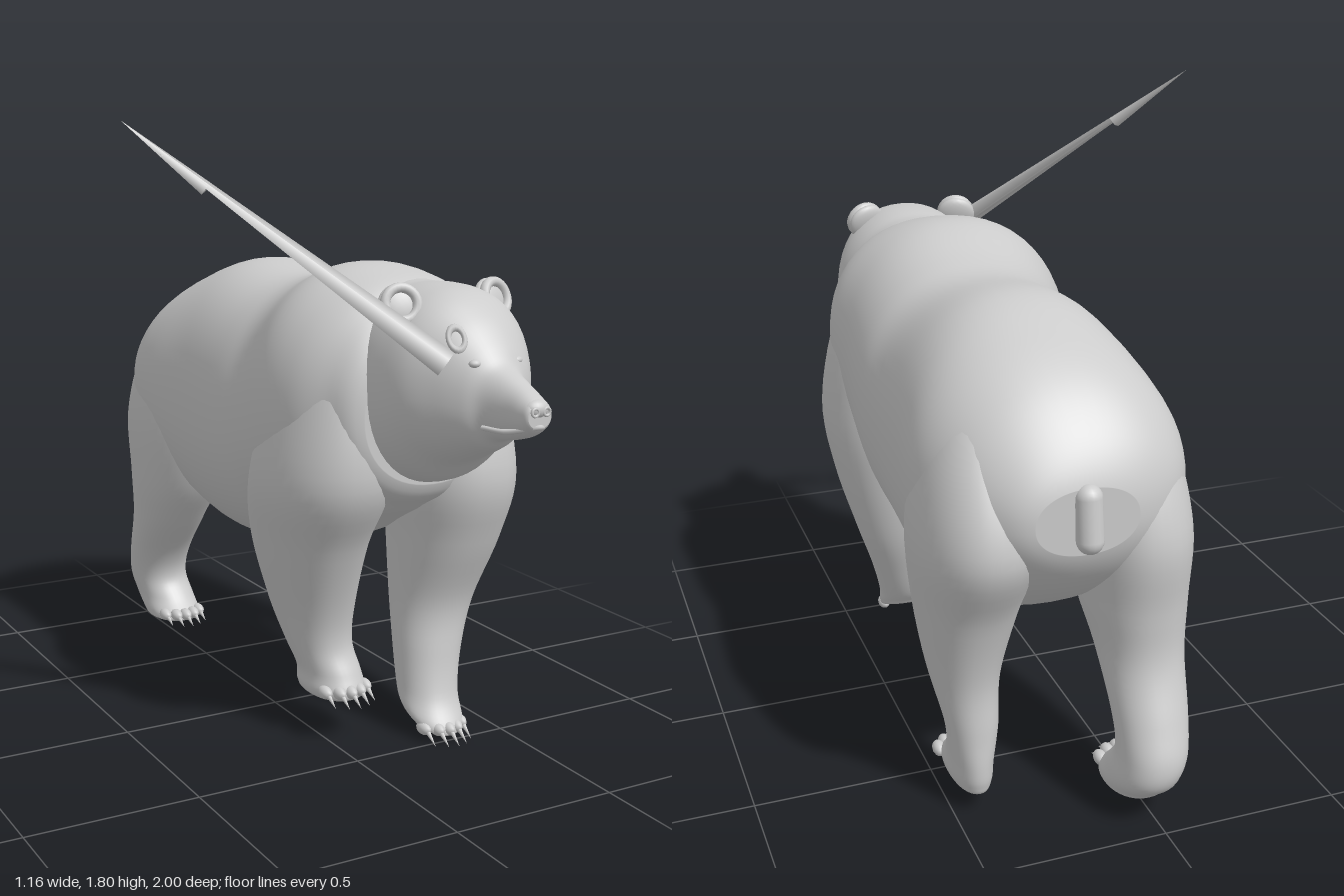
import * as THREE from 'three';

const material = new THREE.MeshStandardMaterial({ color: 0xcccccc, side: THREE.DoubleSide });

function add(parent, name, geometry, position = [0, 0, 0], scale = [1, 1, 1]) {
  const mesh = new THREE.Mesh(geometry, material);
  mesh.name = name;
  mesh.position.set(...position);
  mesh.scale.set(...scale);
  parent.add(mesh);
  return mesh;
}

// Smooth value between rows a..d of one column
function cubic(a, b, c, d, t) {
  const m0 = (c - a) / 2, m1 = (d - b) / 2, t2 = t * t, t3 = t2 * t;
  return (2 * t3 - 3 * t2 + 1) * b + (t3 - 2 * t2 + t) * m0 + (3 * t2 - 2 * t3) * c + (t3 - t2) * m1;
}

// Loft of oval rings. Row: [height along axis, x0, x1, low, high, tilt].
// axis 'z' runs back to front, axis 'y' runs top to bottom.
function loft(axis, rows, sides = 40, steps = 6) {
  const first = rows[0], last = rows[rows.length - 1];
  const end = (r) => {
    const x = (r[1] + r[2]) / 2, c = (r[3] + r[4]) / 2;
    return [r[0], x, x, c, c, 0];
  };
  const all = [end(first), ...rows, end(last)];
  const pos = [], index = [], total = (all.length - 1) * steps;
  const soft = (v) => Math.sign(v) * Math.abs(v) ** 0.92;
  for (let i = 0; i <= total; i++) {
    const k = Math.min(Math.floor(i / steps), all.length - 2), t = i / steps - k;
    const row = (n) => all[Math.max(0, Math.min(all.length - 1, n))];
    // End caps swell out quickly so that they are rounded
    const cap = k === 0 ? Math.sqrt(1 - (1 - t) ** 2) : k === all.length - 2 ? 1 - Math.sqrt(1 - t * t) : -1;
    const v = [0, 1, 2, 3, 4, 5].map((c) => {
      const q = [-1, 0, 1, 2].map((o) => row(k + o)[c] ?? 0);
      return cap >= 0 ? q[1] + (q[2] - q[1]) * cap : cubic(...q, t);
    });
    for (let j = 0; j < sides; j++) {
      const a = (j / sides) * Math.PI * 2, s = soft(Math.sin(a));
      const x = (v[1] + v[2]) / 2 + ((v[2] - v[1]) / 2) * soft(Math.cos(a));
      const w = (v[3] + v[4]) / 2 + ((v[4] - v[3]) / 2) * s;
      const h = v[0] + v[5] * s;
      pos.push(...(axis === 'z' ? [x, w, h] : [x, h, w]));
      if (i < total) {
        const n = (j + 1) % sides, p = i * sides;
        index.push(p + j, p + n, p + sides + n, p + j, p + sides + n, p + sides + j);
      }
    }
  }
  const g = new THREE.BufferGeometry();
  g.setAttribute('position', new THREE.Float32BufferAttribute(pos, 3));
  g.setIndex(index);
  g.computeVertexNormals();
  return g;
}

// Cone stretched between two points
function spike(parent, name, from, to, radius, sides, flat = 1) {
  const a = new THREE.Vector3(...from), b = new THREE.Vector3(...to), d = b.clone().sub(a);
  const mesh = add(parent, name, new THREE.ConeGeometry(radius, d.length(), sides), a.clone().lerp(b, 0.5).toArray(), [1, 1, flat]);
  mesh.quaternion.setFromUnitVectors(new THREE.Vector3(0, 1, 0), d.normalize());
  return mesh;
}

// Leg with five rounded toes and claws; toe: [centre x, y, z, half width, claw drop]
function leg(parent, name, rows, [cx, y, z, half, drop]) {
  const group = new THREE.Group();
  group.name = name;
  parent.add(group);
  add(group, name + 'Limb', loft('y', rows));
  for (let i = -2; i <= 2; i++) {
    const x = cx + (i * half) / 2.4, zi = z - 0.008 * i * i;
    add(group, 'toe', new THREE.SphereGeometry(0.022, 12, 8), [x, y, zi - 0.015], [0.85, 0.9, 1.4]);
    spike(group, 'claw', [x, y, zi], [x, y - drop, zi + 0.05], 0.009, 8);
  }
}

export function createModel() {
  const bear = new THREE.Group();
  bear.name = 'bear';

  // Trunk from rump to chest
  add(bear, 'body', loft('z', [
    [-0.92, 0.06, 0.34, 0.82, 1.0],
    [-0.86, -0.07, 0.43, 0.72, 1.11],
    [-0.75, -0.14, 0.51, 0.62, 1.22],
    [-0.6, -0.155, 0.56, 0.53, 1.3],
    [-0.4, -0.14, 0.55, 0.46, 1.355],
    [-0.15, -0.14, 0.54, 0.475, 1.33],
    [0, -0.125, 0.55, 0.52, 1.35],
    [0.2, -0.17, 0.54, 0.58, 1.4],
    [0.35, -0.15, 0.54, 0.66, 1.385],
    [0.45, -0.09, 0.51, 0.72, 1.34],
    [0.53, -0.01, 0.45, 0.8, 1.22],
  ], 56));

  // Legs
  leg(bear, 'leftFrontLeg', [
    [1.2, 0.3, 0.44, 0.22, 0.44],
    [1.05, 0.27, 0.53, 0.14, 0.51],
    [0.8, 0.22, 0.57, 0.12, 0.57],
    [0.6, 0.235, 0.545, 0.14, 0.515],
    [0.4, 0.245, 0.49, 0.18, 0.435],
    [0.25, 0.24, 0.44, 0.23, 0.435],
    [0.14, 0.235, 0.41, 0.265, 0.46, -0.02],
    [0.08, 0.23, 0.4, 0.29, 0.505, -0.04],
    [0.06, 0.25, 0.385, 0.31, 0.49, -0.04],
  ], [0.315, 0.04, 0.505, 0.075, 0.035]);
  leg(bear, 'rightFrontLeg', [
    [1.2, -0.06, 0.1, 0.2, 0.44],
    [1.05, -0.13, 0.13, 0.1, 0.5],
    [0.8, -0.18, 0.18, 0.02, 0.52],
    [0.6, -0.145, 0.155, -0.02, 0.42],
    [0.4, -0.09, 0.14, 0.02, 0.34],
    [0.28, -0.055, 0.13, 0.08, 0.32],
    [0.2, -0.03, 0.14, 0.115, 0.35],
    [0.15, -0.03, 0.145, 0.12, 0.37],
    [0.125, -0.01, 0.125, 0.14, 0.35],
  ], [0.057, 0.155, 0.375, 0.08, 0.03]);
  leg(bear, 'leftHindLeg', [
    [1.15, 0.3, 0.46, -0.73, -0.5],
    [1.0, 0.28, 0.54, -0.84, -0.42],
    [0.8, 0.25, 0.575, -0.9, -0.38],
    [0.6, 0.29, 0.56, -0.81, -0.4],
    [0.4, 0.34, 0.53, -0.755, -0.46],
    [0.25, 0.36, 0.5, -0.755, -0.57],
    [0.15, 0.375, 0.49, -0.76, -0.55],
    [0.09, 0.375, 0.49, -0.755, -0.49],
    [0.06, 0.39, 0.475, -0.73, -0.5],
  ], [0.432, 0.085, -0.475, 0.058, 0.025]);
  leg(bear, 'rightHindLeg', [
    [1.12, -0.08, 0.1, -0.76, -0.5],
    [1.0, -0.13, 0.13, -0.86, -0.44],
    [0.8, -0.16, 0.15, -0.925, -0.43],
    [0.6, -0.15, 0.13, -0.905, -0.5],
    [0.45, -0.13, 0.1, -0.905, -0.61],
    [0.3, -0.11, 0.09, -0.96, -0.74],
    [0.2, -0.095, 0.09, -0.995, -0.78],
    [0.13, -0.08, 0.1, -0.985, -0.74],
    [0.08, -0.075, 0.1, -0.93, -0.69],
    [0.06, -0.06, 0.085, -0.9, -0.7],
  ], [0.012, 0.085, -0.675, 0.075, 0.025]);

  // Tail
  const tail = add(bear, 'tail', new THREE.CapsuleGeometry(0.036, 0.11, 8, 16), [0.2, 0.92, -0.925]);
  tail.rotation.x = 0.12;

  // Head, neck ruff and muzzle
  const head = new THREE.Group();
  head.name = 'head';
  bear.add(head);
  add(head, 'skull', loft('z', [
    [0.35, 0.04, 0.42, 0.9, 1.34],
    [0.46, 0.005, 0.455, 0.81, 1.365],
    [0.57, 0, 0.46, 0.82, 1.37],
    [0.66, 0.02, 0.43, 0.885, 1.355],
    [0.74, 0.07, 0.385, 0.925, 1.3],
    [0.8, 0.115, 0.34, 0.955, 1.235],
    [0.84, 0.15, 0.3, 0.985, 1.185],
    [0.9, 0.17, 0.285, 1.0, 1.155],
    [0.96, 0.18, 0.272, 1.02, 1.13],
    [0.99, 0.19, 0.262, 1.045, 1.11],
  ], 48));
  add(head, 'nose', new THREE.SphereGeometry(0.035, 20, 14), [0.225, 1.095, 0.972], [1.05, 0.75, 0.8]);
  for (const s of [-1, 1]) {
    add(head, 'nostril', new THREE.TorusGeometry(0.01, 0.004, 8, 14), [0.225 + s * 0.018, 1.09, 0.996]);
    add(head, 'eye', new THREE.SphereGeometry(0.014, 14, 10), [0.22 + s * 0.065, 1.19, 0.805], [1.3, 0.8, 1]);
    // Cupped ears
    const ear = new THREE.Group();
    ear.name = 'ear';
    ear.position.set(0.205 + s * 0.15, 1.325, 0.6);
    ear.rotation.set(-0.35, s * 0.25, -s * 0.45);
    head.add(ear);
    add(ear, 'earBack', new THREE.SphereGeometry(0.06, 20, 14), [0, 0, -0.01], [1, 1, 0.4]);
    add(ear, 'earRim', new THREE.TorusGeometry(0.045, 0.014, 10, 24), [0, 0, 0.01]);
  }
  const lips = new THREE.CatmullRomCurve3([
    [0.15, 1.03, 0.85], [0.175, 1.03, 0.92], [0.225, 1.05, 0.992], [0.28, 1.03, 0.92], [0.3, 1.03, 0.85],
  ].map((p) => new THREE.Vector3(...p)));
  add(head, 'mouth', new THREE.TubeGeometry(lips, 24, 0.007, 8));

  // Torn ring on the brow and the long splinter beside it
  const wound = add(head, 'browWound', new THREE.TorusGeometry(0.026, 0.009, 8, 18), [0.13, 1.25, 0.755], [0.8, 1.2, 1]);
  wound.rotation.set(-0.5, -0.5, 0);
  spike(head, 'splinter', [0.09, 1.19, 0.77], [-0.58, 1.805, 0.23], 0.042, 4, 0.6);
  spike(head, 'splinterEdge', [0.05, 1.25, 0.71], [-0.5, 1.72, 0.3], 0.034, 3, 0.6);
  spike(head, 'splinterTip', [-0.4, 1.63, 0.37], [-0.58, 1.805, 0.23], 0.022, 4, 0.6);
  return bear;
}
